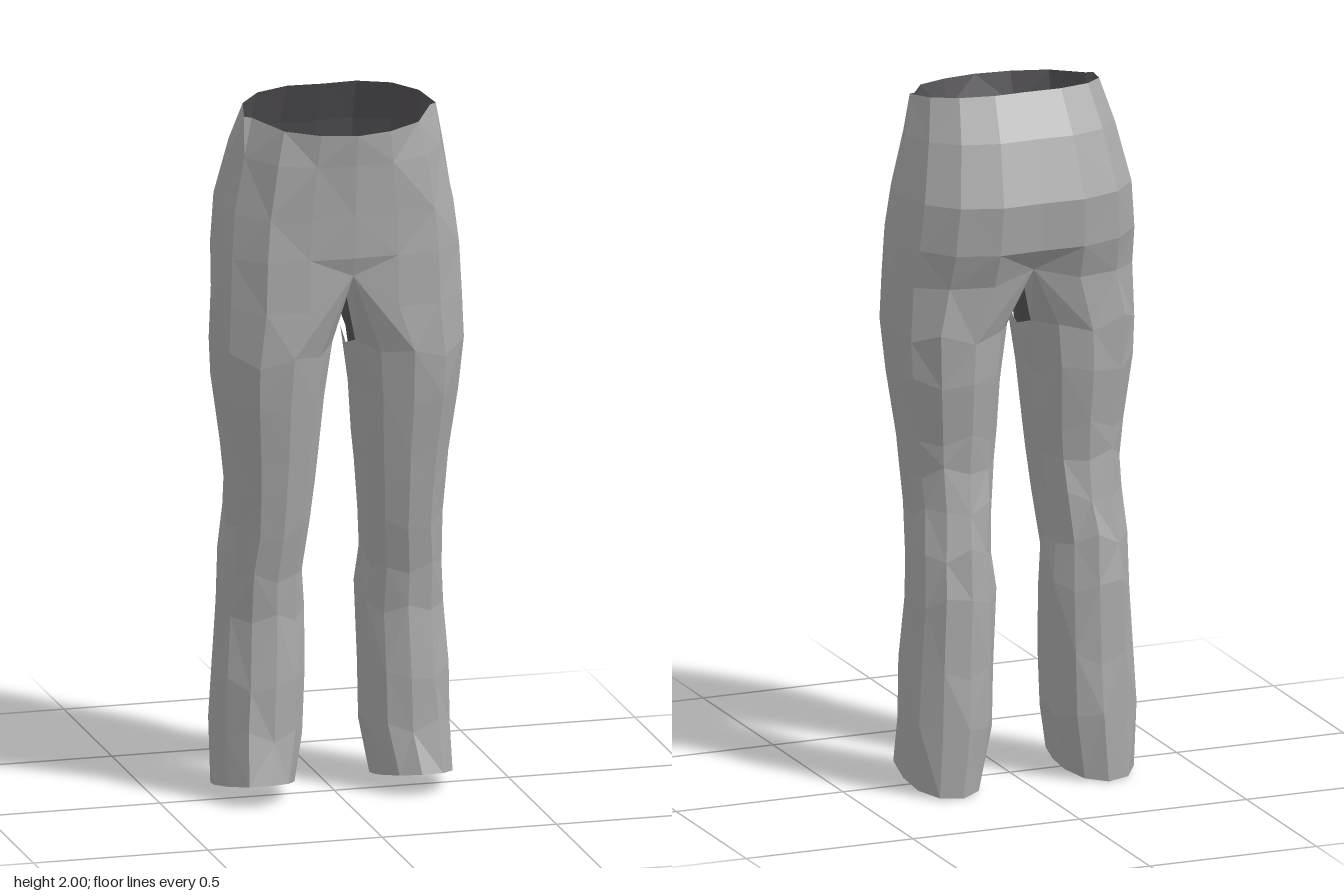
import * as THREE from 'three';

const cloth = new THREE.MeshStandardMaterial({ color: 0xa9a9a9, flatShading: true });
cloth.name = 'grey cloth';
const liningCloth = new THREE.MeshStandardMaterial({ color: 0x565458, flatShading: true, side: THREE.DoubleSide });
liningCloth.name = 'dark lining';

// Half outline of the hips, front centre to back centre: [sideways, forward]
const HIP = [[0, 1], [0.36, 0.98], [0.7, 0.93], [0.93, 0.57], [1, 0], [0.92, -0.5], [0.7, -0.84], [0.36, -1], [0, -0.98]];
// Full outline of a leg; the first nine points continue the hip outline, the rest run up the inside
const LEG = [[-0.62, 0.8], [-0.1, 1], [0.48, 0.94], [0.88, 0.57], [1, -0.05], [0.9, -0.55], [0.52, -0.9],
  [-0.08, -1], [-0.62, -0.8], [-0.93, -0.4], [-1, 0], [-0.93, 0.42]];

// Hip rings: y front, y back, half width, z front, z back, rounding of the front corners
const HIP_RINGS = [
  [1.95, 2.0, 0.275, 0.25, -0.13, 0.6],
  [1.86, 1.88, 0.303, 0.237, -0.195, 0.3],
  [1.71, 1.71, 0.337, 0.224, -0.25, 0.1],
  [1.59, 1.57, 0.35, 0.217, -0.237, 0],
];
// Leg rings: y front, y back, x inside, x outside, z front, z back
const LEG_RINGS = [
  [1.3, 1.32, 0.025, 0.353, 0.213, -0.183],
  [1.16, 1.19, 0.042, 0.341, 0.195, -0.176],
  [1.0, 1.02, 0.055, 0.32, 0.165, -0.152],
  [0.9, 0.93, 0.066, 0.311, 0.148, -0.145],
  [0.78, 0.82, 0.076, 0.304, 0.127, -0.16],
  [0.65, 0.7, 0.088, 0.313, 0.1, -0.18],
  [0.53, 0.57, 0.08, 0.32, 0.087, -0.19],
  [0.34, 0.36, 0.084, 0.329, 0.102, -0.192],
  [0.2, 0.19, 0.086, 0.336, 0.106, -0.195],
  [0.07, 0.005, 0.118, 0.334, 0.138, -0.19],
];
// How far the lining sits inside the cloth, from hip join to hem
const LEG_LINING = [0.012, 0.015, 0.015, 0.018, 0.02, 0.02, 0.025, 0.025, 0.025, 0.03, 0];
const HIP_LINING = [0, 0.012, 0.012, 0.012, 0.012];

const mix = (a, b, t) => a + (b - a) * t;

// Half ring of the hips on the +x side
function hipHalf([yf, yb, w, zf, zb, round]) {
  return HIP.map(([u, v]) => {
    const t = (1 - (v > 0 ? v - round * u * u : v)) / 2;
    return [u * w, mix(yf, yb, t), mix(zf, zb, t)];
  });
}

// Where hips meet legs: raised to an arch at the centre
function joinHalf() {
  const half = hipHalf([1.44, 1.47, 0.356, 0.217, -0.198, 0]);
  half[0] = [0, 1.535, 0.2];
  half[8] = [0, 1.5, -0.17];
  return half;
}

// Ring of the left leg, with slight wrinkles that vary with height
function legRing([yf, yb, xi, xo, zf, zb], row) {
  const atHem = row === LEG_RINGS.length - 1;
  return LEG.map(([u, v], i) => {
    const fold = atHem ? 0 : Math.sin(i * 2.4 + row * 1.9);
    const size = 1 + 0.025 * fold;
    const t = (1 - v * size) / 2;
    return [mix(xi, xo, (u * size + 1) / 2), mix(yf, yb, t) + 0.018 * fold, mix(zf, zb, t)];
  });
}

// Ring moved towards its own centre; points on the centre line stay on it
function inset(ring, d) {
  const cx = ring.reduce((s, p) => s + p[0], 0) / ring.length;
  const cz = ring.reduce((s, p) => s + p[2], 0) / ring.length;
  return ring.map(([x, y, z]) => {
    const k = d / Math.hypot(x - cx, z - cz);
    return [x === 0 ? 0 : mix(x, cx, k), y, mix(z, cz, k)];
  });
}

// Skin of quads between successive rings, listed from the top down
function loft(rings, mirrored, skip = () => false) {
  const n = rings[0].length;
  const positions = rings.flat().flatMap(([x, y, z]) => [mirrored ? -x : x, y, z]);
  const index = [];
  const tri = (a, b, c) => (mirrored ? index.push(c, b, a) : index.push(a, b, c));
  for (let r = 0; r < rings.length - 1; r++) {
    for (let i = 0; i < n; i++) {
      if (skip(r, i)) continue;
      const a = r * n + i, b = r * n + (i + 1) % n, c = b + n, d = a + n;
      if ((r + i) % 2) { tri(d, c, b); tri(d, b, a); } else { tri(d, c, a); tri(c, b, a); }
    }
  }
  const geometry = new THREE.BufferGeometry();
  geometry.setAttribute('position', new THREE.Float32BufferAttribute(positions, 3));
  geometry.setIndex(index);
  geometry.computeVertexNormals();
  return geometry;
}

function addPart(group, name, geometry, material) {
  const mesh = new THREE.Mesh(geometry, material);
  mesh.name = name;
  group.add(mesh);
}

export function createModel() {
  const model = new THREE.Group();
  model.name = 'trousers';

  // Hips and seat, open at the waist
  const full = half => [...half, ...half.slice(1, -1).reverse().map(([x, y, z]) => [-x, y, z])];
  const join = joinHalf();
  const hips = [...HIP_RINGS.map(hipHalf), join].map(full);
  addPart(model, 'hips', loft(hips, false), cloth);
  addPart(model, 'hipLining', loft(hips.map((ring, r) => inset(ring, HIP_LINING[r])), false), liningCloth);

  // Legs from the hip edge and crotch seam to the open hem; the lining shows at the crotch
  const seam = [[0, 1.47, -0.08], [0, 1.45, 0], [0, 1.49, 0.1]];
  const leg = [[...join, ...seam], ...LEG_RINGS.map(legRing)];
  const lining = leg.map((ring, r) => inset(ring, LEG_LINING[r]));
  const crotch = (r, i) => r === 0 && i >= 9 && i <= 10;
  for (const [side, mirrored] of [['left', false], ['right', true]]) {
    addPart(model, side + 'Leg', loft(leg, mirrored, crotch), cloth);
    addPart(model, side + 'LegLining', loft(lining, mirrored), liningCloth);
  }

  return model;
}
